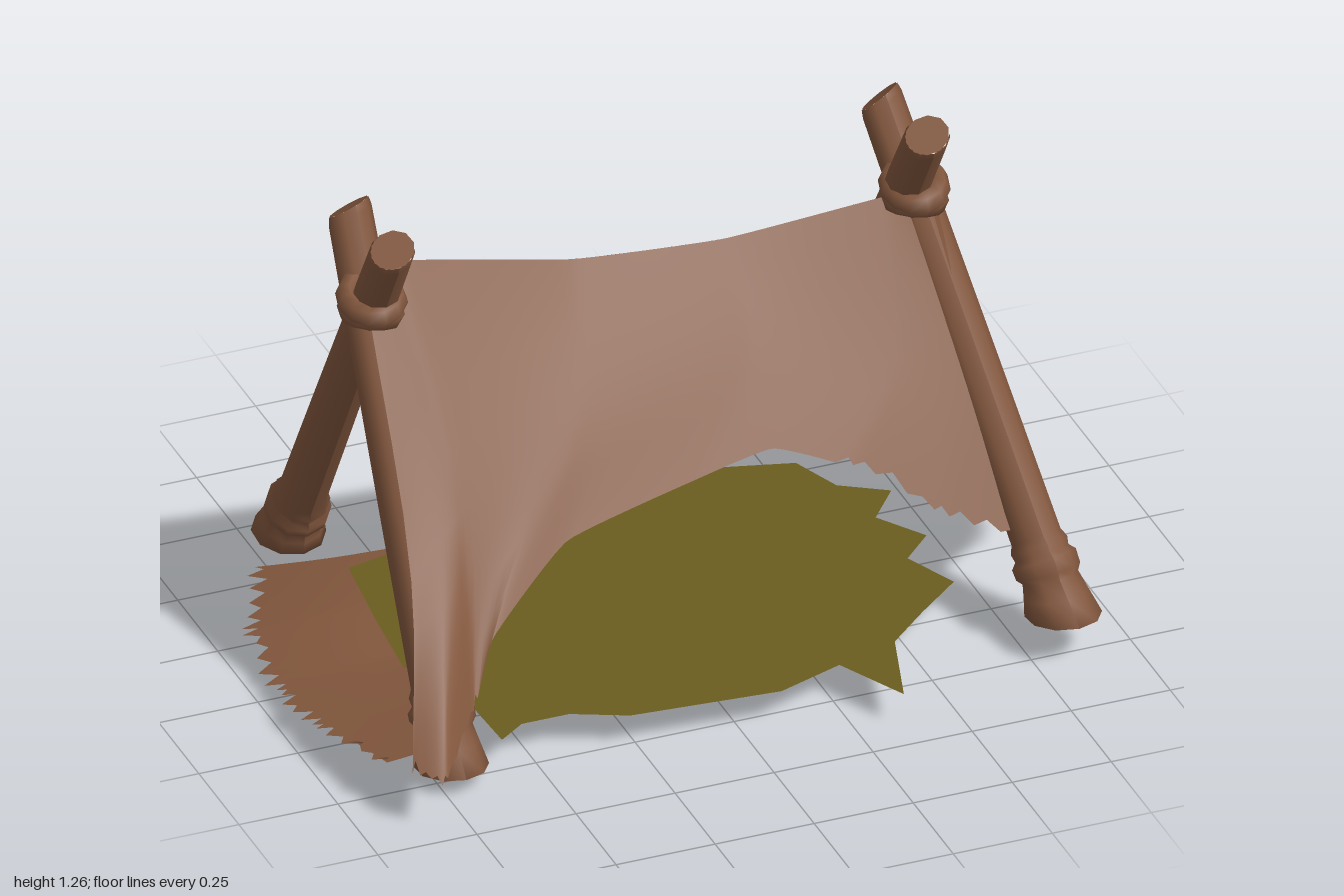
import * as THREE from 'three';

const wood = new THREE.MeshStandardMaterial({ color: 0x81563d });
wood.name = 'brown wood';
const hide = new THREE.MeshStandardMaterial({ color: 0x84583e, side: THREE.DoubleSide });
hide.name = 'brown hide';
const moss = new THREE.MeshStandardMaterial({ color: 0x6a5d1f, side: THREE.DoubleSide });
moss.name = 'olive mat';

const V = (p) => new THREE.Vector3(...p);
const UP = new THREE.Vector3(0, 1, 0);

// Seeded random for the ragged edges
let seed = 7;
function rand() {
  seed = (seed * 16807) % 2147483647;
  return seed / 2147483647;
}

function add(parent, name, geometry, material) {
  const mesh = new THREE.Mesh(geometry, material);
  mesh.name = name;
  parent.add(mesh);
  return mesh;
}

// Log with a flared foot and a binding near the ground
function pole(parent, name, foot, top) {
  const a = V(foot), b = V(top);
  const L = a.distanceTo(b);
  const turn = new THREE.Quaternion().setFromUnitVectors(UP, b.sub(a).normalize());
  const up = UP.clone().applyQuaternion(turn.clone().invert());
  const profile = [
    [0, 0.012], [0.06, 0.003], [0.088, 0], [0.076, 0.05], [0.067, 0.09],
    [0.078, 0.105], [0.079, 0.135], [0.066, 0.15], [0.07, 0.17], [0.061, 0.19],
    [0.059, 0.6], [0.054, L - 0.02], [0.05, L],
  ].map((p) => new THREE.Vector2(...p));
  const shaft = new THREE.LatheGeometry(profile, 10);
  const cap = new THREE.CircleGeometry(0.05, 10).rotateX(-Math.PI / 2).translate(0, L, 0);
  // Rough slanted top, and a foot cut nearly level with the ground
  for (const g of [shaft, cap]) {
    const pos = g.attributes.position;
    for (let i = 0; i < pos.count; i++) {
      const x = pos.getX(i), y = pos.getY(i), z = pos.getZ(i);
      if (y > L - 0.03) pos.setY(i, y + x * 0.35);
      const level = Math.max(0, 1 - y / 0.13) * 0.75;
      pos.setY(i, pos.getY(i) - level * (x * up.x + z * up.z) / up.y);
    }
    g.computeVertexNormals();
  }
  const group = new THREE.Group();
  group.name = name;
  add(group, 'shaft', shaft, wood);
  add(group, 'cutEnd', cap, wood);
  group.position.copy(a);
  group.quaternion.copy(turn);
  parent.add(group);
}

// Lashing made of two tilted loops
function lashing(parent, name, x) {
  const group = new THREE.Group();
  group.name = name;
  for (const [tilt, y, r] of [[0.2, 0.012, 0.062], [-0.22, -0.02, 0.058]]) {
    const ring = add(group, 'ropeLoop', new THREE.TorusGeometry(r, 0.031, 7, 12), wood);
    ring.rotation.set(Math.PI / 2 + tilt, tilt * 0.6, 0);
    ring.scale.set(0.9, 1.05, 1.15);
    ring.position.y = y;
  }
  group.position.set(x, 1.015, -0.032);
  parent.add(group);
}

// Sheet through top, middle and bottom curves; ragged(u) is the tooth depth
function sheet(parent, name, rows, nu, ragged = () => 0) {
  const nv = 8;
  const curves = rows.map((row) => new THREE.CatmullRomCurve3(row.map(V), false, 'catmullrom', 0.2));
  const positions = [], index = [];
  for (let i = 0; i <= nu; i++) {
    const u = i / nu;
    const pts = curves.map((c) => c.getPoint(u));
    const last = pts.length - 1;
    const dir = pts[last].clone().sub(pts[last - 1]).normalize();
    const cut = ragged(u) * (i % 2 ? 0.5 + 0.5 * rand() : 0.5 * rand());
    const across = new THREE.CatmullRomCurve3(pts);
    for (let j = 0; j <= nv; j++) {
      const p = across.getPoint(j / nv);
      if (j === nv) p.addScaledVector(dir, -cut);
      positions.push(p.x, p.y, p.z);
      if (i < nu && j < nv) {
        const k = i * (nv + 1) + j;
        index.push(k, k + 1, k + nv + 1, k + 1, k + nv + 2, k + nv + 1);
      }
    }
  }
  const g = new THREE.BufferGeometry();
  g.setAttribute('position', new THREE.Float32BufferAttribute(positions, 3));
  g.setIndex(index);
  g.computeVertexNormals();
  add(parent, name, g, hide);
}

export function createModel() {
  const model = new THREE.Group();
  model.name = 'tent';

  // Two crossed pole frames
  pole(model, 'leftFrontPole', [0.835, 0.11, 0.49], [0.65, 1.18, -0.2]);
  pole(model, 'leftBackPole', [0.67, 0.09, -0.65], [0.65, 1.24, 0.1]);
  pole(model, 'rightFrontPole', [-0.71, 0.045, 0.49], [-0.69, 1.18, -0.2]);
  pole(model, 'rightBackPole', [-0.66, 0.04, -0.65], [-0.7, 1.23, 0.1]);
  lashing(model, 'leftLashing', 0.67);
  lashing(model, 'rightLashing', -0.7);

  // Sagging cover, front and back slopes sharing the ridge
  const ridge = [[-0.72, 1.05, -0.02], [-0.62, 1.1, -0.05], [-0.18, 1.0, -0.06],
    [0.2, 0.97, -0.06], [0.6, 1.0, -0.05], [0.68, 1.0, -0.03]];
  sheet(model, 'frontCover', [
    ridge,
    [[-0.77, 0.5, 0.39], [-0.62, 0.6, 0.31], [-0.25, 0.74, 0.17],
      [0.2, 0.77, 0.1], [0.55, 0.68, 0.16], [0.75, 0.62, 0.2]],
    [[-0.88, 0.16, 0.67], [-0.82, 0.14, 0.73], [-0.68, 0.22, 0.56], [-0.6, 0.36, 0.48], [-0.36, 0.5, 0.35],
      [0, 0.55, 0.28], [0.2, 0.57, 0.25], [0.38, 0.5, 0.29], [0.58, 0.36, 0.36], [0.76, 0.27, 0.4]],
  ], 64, (u) => (u > 0.76 ? 0.04 : u < 0.24 ? 0.035 : 0));
  sheet(model, 'backCover', [
    ridge,
    [[-0.69, 1.06, -0.07], [-0.45, 0.98, -0.11], [-0.2, 0.88, -0.15],
      [0.1, 0.77, -0.2], [0.4, 0.66, -0.28], [0.68, 0.6, -0.34]],
    [[-0.68, 1.04, -0.09], [-0.45, 0.9, -0.17], [-0.25, 0.76, -0.24],
      [0, 0.57, -0.36], [0.32, 0.36, -0.45], [0.6, 0.2, -0.53], [0.68, 0.16, -0.63]],
  ], 36);

  // Hanging end flap with a torn hem
  sheet(model, 'endFlap', [
    [[0.69, 1.0, 0.02], [0.71, 1.0, -0.02], [0.71, 1.0, -0.07], [0.68, 1.0, -0.11]],
    [[0.75, 0.6, 0.19], [0.82, 0.6, 0.08], [0.83, 0.6, -0.08], [0.79, 0.6, -0.22], [0.69, 0.58, -0.34]],
    [[0.76, 0.27, 0.36], [0.83, 0.23, 0.22], [0.93, 0.2, 0.12], [0.98, 0.18, -0.02],
      [1.0, 0.13, -0.18], [0.9, 0.12, -0.32], [0.8, 0.1, -0.46], [0.69, 0.11, -0.61]],
  ], 44, () => 0.06);

  // Fallen flap lying on the ground
  sheet(model, 'fallenFlap', [
    [[-0.73, 0.17, 0.57], [-0.63, 0.13, 0.3], [-0.58, 0.088, 0.05], [-0.56, 0.085, -0.2], [-0.42, 0.085, -0.41]],
    [[-0.82, 0.155, 0.58], [-0.8, 0.115, 0.3], [-0.78, 0.085, 0.05], [-0.75, 0.07, -0.22], [-0.62, 0.05, -0.48]],
    [[-0.93, 0.13, 0.56], [-0.99, 0.09, 0.28], [-1.0, 0.06, 0.05], [-0.94, 0.04, -0.26], [-0.79, 0.005, -0.58]],
  ], 44, () => 0.06);

  // Ragged ground mat, as x and z pairs
  const outline = [
    [-0.66, -0.1], [-0.63, -0.35], [-0.4, -0.4], [-0.36, -0.55], [-0.23, -0.46], [0.1, -0.52],
    [0.34, -0.45], [0.52, -0.4], [0.57, -0.27], [0.68, -0.2], [0.6, -0.1], [0.68, 0.02],
    [0.6, 0.1], [0.66, 0.24], [0.54, 0.34], [0.43, 0.44], [0.36, 0.67], [0.27, 0.49],
    [0.1, 0.55], [-0.27, 0.52], [-0.4, 0.46], [-0.52, 0.46], [-0.59, 0.51], [-0.6, 0.3], [-0.68, 0.12],
  ];
  const shape = new THREE.Shape(outline.map(([x, z]) => new THREE.Vector2(x, -z)));
  const mat = add(model, 'groundMat', new THREE.ShapeGeometry(shape).rotateX(-Math.PI / 2), moss);
  mat.position.y = 0.097;

  return model;
}
